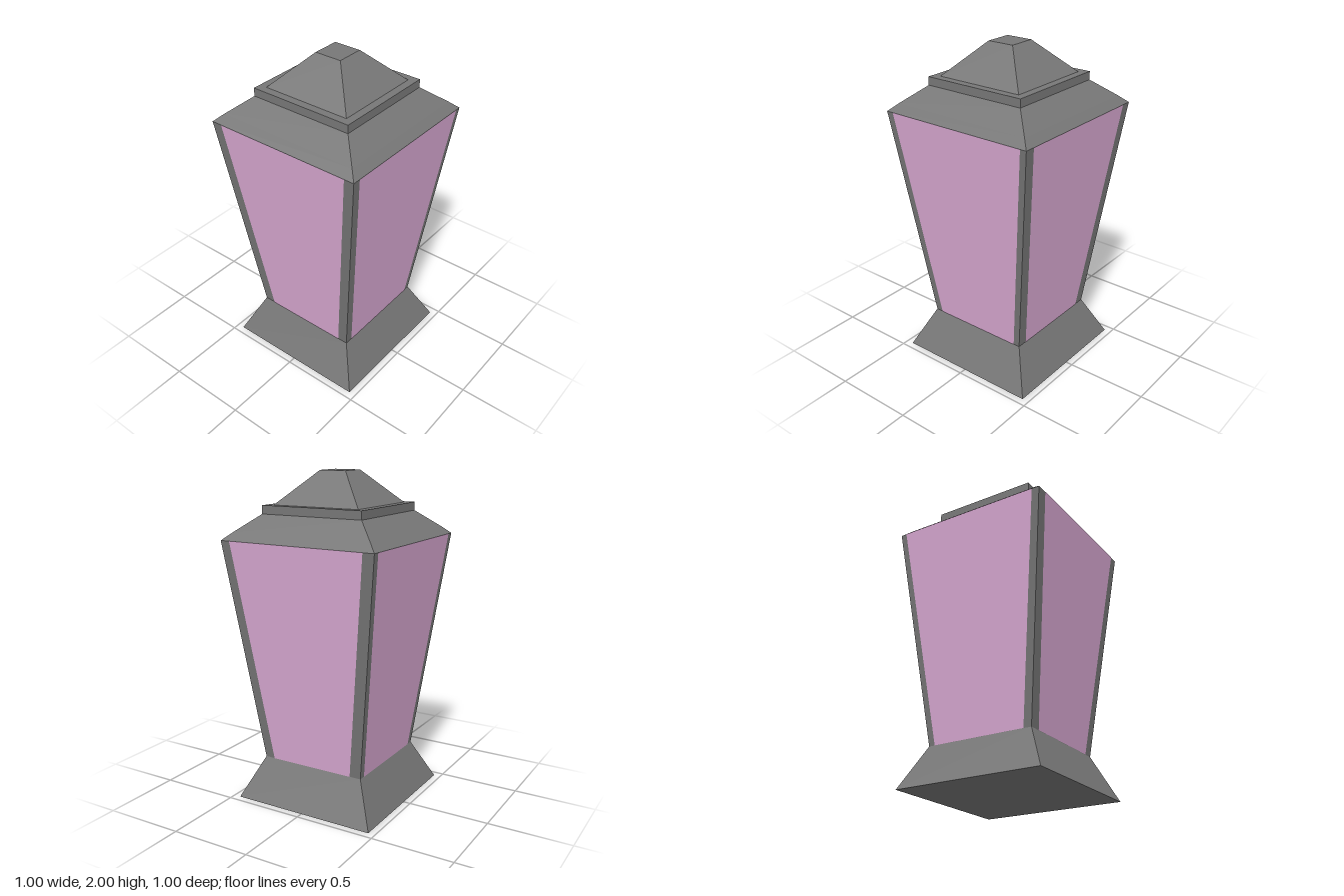
import * as THREE from 'three';

const frameMat = new THREE.MeshStandardMaterial({ color: 0x777777, flatShading: true });
const glassMat = new THREE.MeshStandardMaterial({ color: 0xdcabd5, flatShading: true, side: THREE.DoubleSide });

const BODY = { y0: 0.255, y1: 1.61, w0: 0.335, w1: 0.5 };

// Square tapered block between two heights, given its half widths
function taper(name, y0, w0, y1, w1) {
  const geo = new THREE.CylinderGeometry(w1 * Math.SQRT2, w0 * Math.SQRT2, y1 - y0, 4, 1, false, Math.PI / 4);
  const mesh = new THREE.Mesh(geo, frameMat);
  mesh.name = name;
  mesh.position.y = (y0 + y1) / 2;
  return mesh;
}

// Trapezoid pane lying on one sloping side of the body
function pane(name, angle, bottomHalf, topHalf, shift) {
  const geo = new THREE.PlaneGeometry(2, 2);
  const pos = geo.attributes.position;
  const lift = 0.002;
  for (let i = 0; i < pos.count; i++) {
    const top = pos.getY(i) > 0;
    const half = top ? topHalf : bottomHalf;
    pos.setXYZ(
      i,
      pos.getX(i) * half + shift,
      top ? BODY.y1 : BODY.y0,
      (top ? BODY.w1 : BODY.w0) + lift
    );
  }
  geo.computeVertexNormals();
  const mesh = new THREE.Mesh(geo, glassMat);
  mesh.name = name;
  mesh.rotation.y = angle;
  return mesh;
}

export function createModel() {
  const lantern = new THREE.Group();
  lantern.name = 'lantern';

  // Flared foot and tapered body
  lantern.add(taper('base', 0, 0.457, BODY.y0, BODY.w0));
  lantern.add(taper('bodyFrame', BODY.y0, BODY.w0, BODY.y1, BODY.w1));

  // Stepped roof, collar and truncated cap
  lantern.add(taper('roofEave', 1.61, 0.5, 1.655, 0.45));
  lantern.add(taper('roofSlope', 1.655, 0.45, 1.755, 0.328));
  lantern.add(taper('collar', 1.755, 0.328, 1.805, 0.328));
  lantern.add(taper('cap', 1.805, 0.28, 2, 0.085));

  // Glass on all four sides; the side panes are a little narrower
  const glass = new THREE.Group();
  glass.name = 'glassPanes';
  glass.add(pane('frontPane', 0, 0.291, 0.457, 0.004));
  glass.add(pane('backPane', Math.PI, 0.291, 0.457, -0.004));
  glass.add(pane('leftPane', Math.PI / 2, 0.268, 0.435, -0.004));
  glass.add(pane('rightPane', -Math.PI / 2, 0.268, 0.435, 0.004));
  lantern.add(glass);

  return lantern;
}
